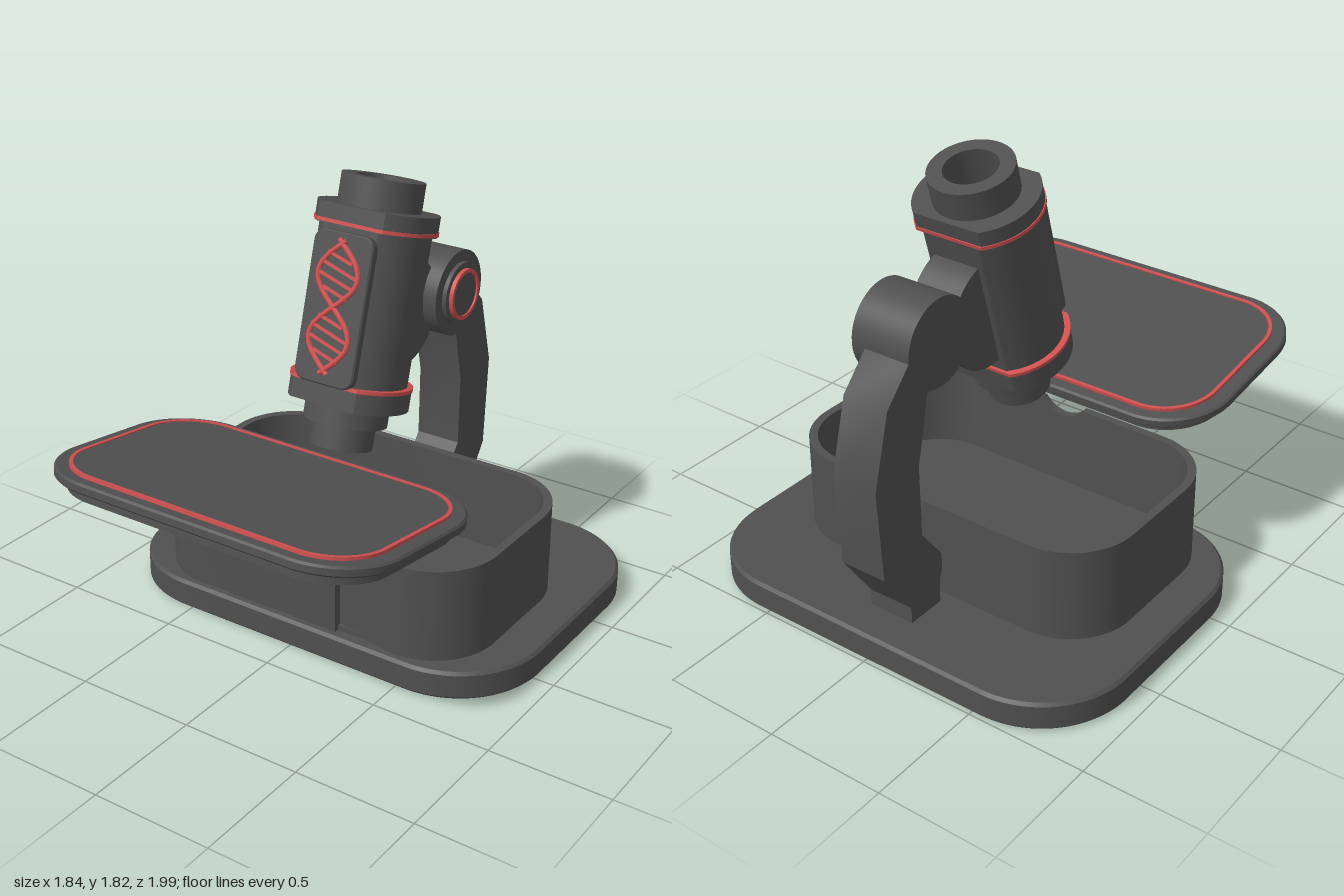
import * as THREE from 'three';
import { toCreasedNormals } from 'three/addons/utils/BufferGeometryUtils.js';

const dark = new THREE.MeshStandardMaterial({ color: 0x505050 });
const red = new THREE.MeshStandardMaterial({ color: 0xd05050 });

function add(parent, name, geometry, material = dark) {
  const mesh = new THREE.Mesh(geometry, material);
  mesh.name = name;
  parent.add(mesh);
  return mesh;
}

function extrude(shape, depth, bevel = 0) {
  const geo = new THREE.ExtrudeGeometry(shape, {
    depth: depth - 2 * bevel, curveSegments: 20, bevelEnabled: bevel > 0,
    bevelSize: bevel, bevelThickness: bevel, bevelOffset: -bevel, bevelSegments: 1,
  });
  geo.translate(0, 0, bevel);
  return toCreasedNormals(geo, 0.5);
}

// Lay a plan shape (x, -z) flat and raise it from y0 to y1
const slab = (shape, y0, y1, bevel) =>
  extrude(shape, y1 - y0, bevel).rotateX(-Math.PI / 2).translate(0, y0, 0);

function roundRect(w, h, r, Type = THREE.Shape) {
  const s = new Type(), q = Math.PI / 2;
  s.absarc(w - r, h - r, r, 0, q);
  s.absarc(r - w, h - r, r, q, 2 * q);
  s.absarc(r - w, r - h, r, 2 * q, 3 * q);
  s.absarc(w - r, r - h, r, 3 * q, 4 * q);
  s.closePath();
  return s;
}

function frame(w, h, r, t) {
  const s = roundRect(w, h, r);
  s.holes.push(roundRect(w - t, h - t, r - t, THREE.Path));
  return s;
}

// Circle with flats cut on the front and back
function flattened(r, cut, hole = 0) {
  const s = new THREE.Shape(), a = Math.asin(cut / r);
  s.absarc(0, 0, r, -a, a);
  s.absarc(0, 0, r, Math.PI - a, Math.PI + a);
  s.closePath();
  if (hole) s.holes.push(new THREE.Path().absarc(0, 0, hole, 0, Math.PI * 2));
  return s;
}

// Cylinder lying along x between x0 and x1
const axle = (r, x0, x1, y, z) =>
  new THREE.CylinderGeometry(r, r, x1 - x0, 48).rotateZ(Math.PI / 2).translate((x0 + x1) / 2, y, z);

function makeTray() {
  const tray = new THREE.Group();
  tray.name = 'tray';
  tray.position.z = -0.145;
  const W = 0.75, D = 0.465, R = 0.28, T = 0.035, gap = 0.2, q = Math.PI / 2;
  // Wall running round the tray, open at the middle of the front
  const wall = new THREE.Shape();
  wall.moveTo(gap, -D);
  wall.absarc(W - R, R - D, R, -q, 0);
  wall.absarc(W - R, D - R, R, 0, q);
  wall.absarc(R - W, D - R, R, q, 2 * q);
  wall.absarc(R - W, R - D, R, 2 * q, 3 * q);
  wall.lineTo(-gap, -D);
  wall.lineTo(-gap, T - D);
  wall.absarc(R - W, R - D, R - T, 3 * q, 2 * q, true);
  wall.absarc(R - W, D - R, R - T, 2 * q, q, true);
  wall.absarc(W - R, D - R, R - T, q, 0, true);
  wall.absarc(W - R, R - D, R - T, 0, -q, true);
  wall.lineTo(gap, T - D);
  wall.closePath();
  add(tray, 'trayWall', slab(wall, 0.12, 0.51));
  // Front wall piece with a finger notch
  const front = new THREE.Shape();
  const a = Math.atan2(-0.075, 0.1);
  front.moveTo(-gap, 0.12);
  front.lineTo(gap, 0.12);
  front.lineTo(gap, 0.51);
  front.absarc(0, 0.585, 0.125, a, -Math.PI - a, true);
  front.lineTo(-gap, 0.51);
  front.closePath();
  add(tray, 'notchedFront', extrude(front, T).translate(0, 0, D - T));
  add(tray, 'trayFloor', slab(roundRect(W - 0.02, D - 0.02, R - 0.02), 0.11, 0.14));
  return tray;
}

function makeLid() {
  const lid = new THREE.Group();
  lid.name = 'lid';
  lid.position.set(0, 0.778, 0.532);
  lid.rotation.x = THREE.MathUtils.degToRad(-8);
  add(lid, 'lidPlate', slab(roundRect(0.75, 0.465, 0.28), -0.02, 0.022, 0.008));
  add(lid, 'lidLip', slab(frame(0.7, 0.42, 0.24, 0.035), -0.066, -0.018));
  add(lid, 'lidPanel', slab(roundRect(0.675, 0.4, 0.21), 0.02, 0.03));
  add(lid, 'lidTrim', slab(frame(0.69, 0.415, 0.225, 0.015), 0.02, 0.035), red);
  return lid;
}

function makeArm() {
  const arm = new THREE.Group();
  arm.name = 'arm';
  // Side outline as (z, y)
  const outline = [[-0.66, 0.12], [-0.83, 0.12], [-0.83, 0.19], [-0.975, 0.4], [-1, 0.79],
    [-0.92, 1.09], [-0.77, 1.25], [-0.62, 1.3], [-0.62, 1.1], [-0.7, 1.06], [-0.76, 0.78],
    [-0.755, 0.48], [-0.645, 0.335], [-0.645, 0.26], [-0.66, 0.22]];
  const shape = new THREE.Shape(outline.map(([z, y]) => new THREE.Vector2(z, y)));
  add(arm, 'curvedArm', extrude(shape, 0.2).translate(0, 0, -0.1).rotateY(-Math.PI / 2));
  add(arm, 'footPivot', axle(0.1, -0.099, 0.099, 0.29, -0.742));
  add(arm, 'tubeMount', axle(0.22, -0.1, 0.1, 1.225, -0.33));
  add(arm, 'jointDisc', axle(0.178, -0.1, 0.16, 1.23, -0.62));
  add(arm, 'knob', axle(0.13, 0.15, 0.178, 1.23, -0.62));
  add(arm, 'knobCap', axle(0.09, 0.17, 0.188, 1.23, -0.62));
  const ring = new THREE.Shape().absarc(0, 0, 0.106, 0, Math.PI * 2);
  ring.holes.push(new THREE.Path().absarc(0, 0, 0.09, 0, Math.PI * 2));
  add(arm, 'knobTrim', extrude(ring, 0.025).rotateY(Math.PI / 2).translate(0.17, 1.23, -0.62), red);
  return arm;
}

function makeHelix() {
  const helix = new THREE.Group();
  helix.name = 'helixEmblem';
  helix.position.set(0, 0.565, 0.217);
  const H = 0.26, wave = (s) => 0.09 * Math.sin((Math.PI * s) / 0.245);
  // Two mirrored strands
  for (const side of [-1, 1]) {
    const pts = [];
    for (let i = 0; i <= 32; i++) {
      const s = -H + (2 * H * i) / 32;
      pts.push(new THREE.Vector3(side * wave(s), s, 0));
    }
    const tube = new THREE.TubeGeometry(new THREE.CatmullRomCurve3(pts), 64, 0.011, 8);
    add(helix, 'strand', tube, red);
  }
  // Slanted rungs in both loops
  for (const loop of [-1, 1]) {
    for (let i = 0; i < 4; i++) {
      const s = loop * 0.1225 + (i - 1.5) * 0.045;
      const half = Math.abs(wave(s));
      const rung = add(helix, 'rung', new THREE.BoxGeometry(2.05 * half, 0.012, 0.014), red);
      rung.position.y = s;
      rung.rotation.z = -0.28;
    }
  }
  return helix;
}

function makeTube() {
  const tube = new THREE.Group();
  tube.name = 'opticalTube';
  tube.position.set(0, 0.746, -0.013);
  tube.rotation.x = THREE.MathUtils.degToRad(-15.8);
  const cyl = (r, y0, y1) => new THREE.CylinderGeometry(r, r, y1 - y0, 48).translate(0, (y0 + y1) / 2, 0);
  add(tube, 'lensTip', cyl(0.125, 0, 0.11));
  add(tube, 'lensNeck', cyl(0.168, 0.1, 0.19));
  add(tube, 'tubeBody', slab(flattened(0.22, 0.182), 0.25, 0.88));
  add(tube, 'lowerCollar', slab(flattened(0.24, 0.19), 0.18, 0.27));
  add(tube, 'upperCollar', slab(flattened(0.24, 0.19, 0.105), 0.87, 0.95));
  for (const y of [0.26, 0.874]) {
    add(tube, 'collarTrim', slab(flattened(0.244, 0.194, 0.15), y, y + 0.014), red);
  }
  // Hollow eyepiece
  const eye = new THREE.Shape().absarc(0, 0, 0.165, 0, Math.PI * 2);
  eye.holes.push(new THREE.Path().absarc(0, 0, 0.105, 0, Math.PI * 2));
  add(tube, 'eyepiece', slab(eye, 0.94, 1.066));
  add(tube, 'frontPanel', extrude(roundRect(0.135, 0.295, 0.05), 0.04, 0.006).translate(0, 0.557, 0.176));
  tube.add(makeHelix());
  return tube;
}

export function createModel() {
  const model = new THREE.Group();
  model.name = 'microscope';
  add(model, 'base', slab(roundRect(0.92, 0.673, 0.38), 0, 0.12, 0.012)).position.z = -0.318;
  model.add(makeTray(), makeLid(), makeArm(), makeTube());
  return model;
}
